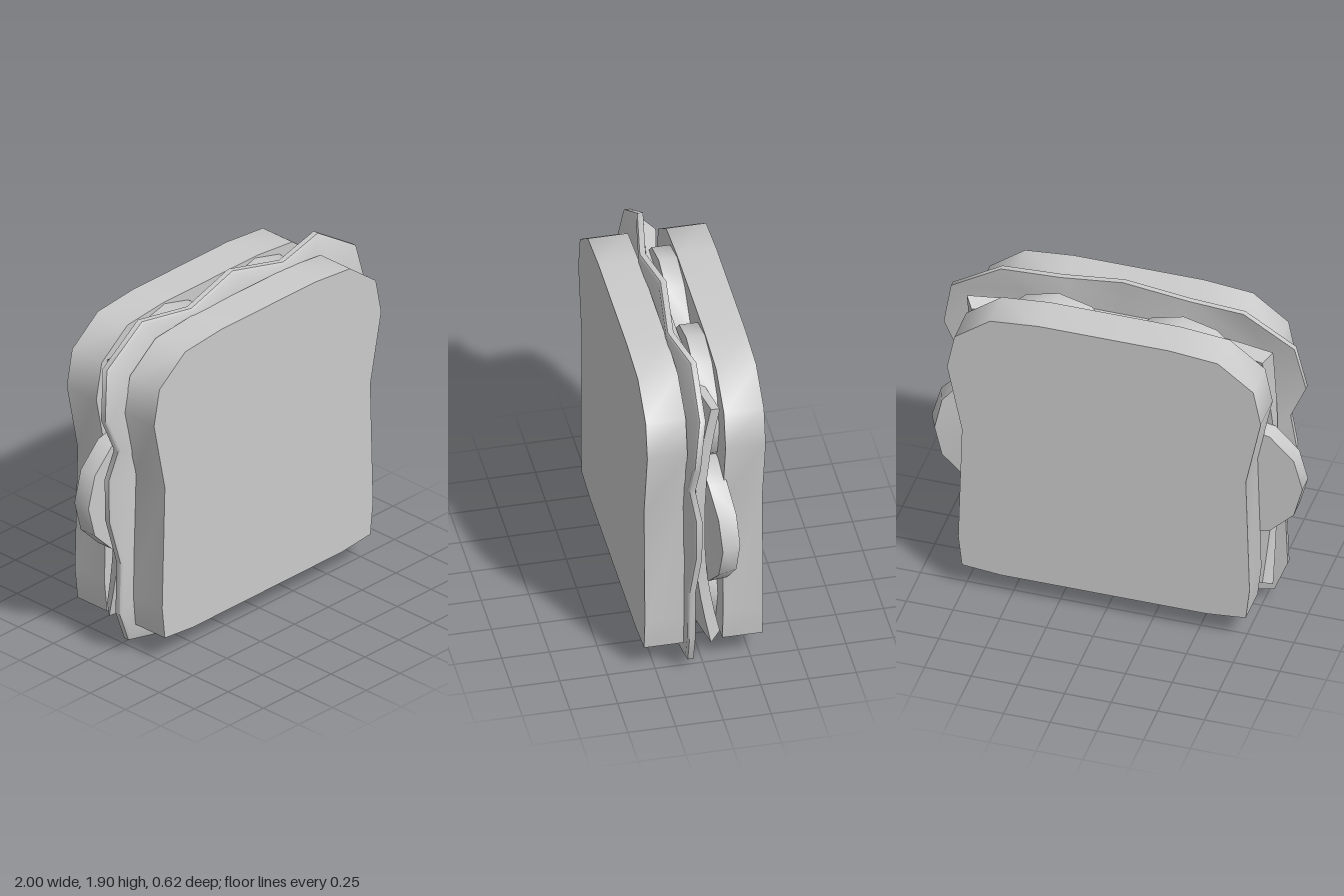
import * as THREE from 'three';
import { toCreasedNormals } from 'three/addons/utils/BufferGeometryUtils.js';

const grey = new THREE.MeshStandardMaterial({ color: 0xcccccc });

// full closed outline (clockwise from the top) from its right half
function mirrored(half) {
  const other = half.filter(p => p[0] > 0).reverse().map(([x, ...rest]) => [-x, ...rest]);
  return [...half, ...other];
}

function part(name, geometry, crease) {
  const mesh = new THREE.Mesh(toCreasedNormals(geometry, crease), grey);
  mesh.name = name;
  return mesh;
}

// move every vertex of a geometry by a rule
function deform(geometry, rule) {
  const pos = geometry.attributes.position;
  const v = new THREE.Vector3();
  for (let i = 0; i < pos.count; i++) {
    rule(v.fromBufferAttribute(pos, i));
    pos.setXYZ(i, v.x, v.y, v.z);
  }
  return geometry;
}

// bread slice: extruded loaf outline
function breadSlice(name, z) {
  const outline = mirrored([
    [0, 1.79], [0.35, 1.79], [0.61, 1.765], [0.8, 1.62], [0.84, 1.42],
    [0.76, 1.03], [0.78, 0.33], [0.76, 0.15], [0.55, 0.13],
  ]);
  const shape = new THREE.Shape(outline.map(([x, y]) => new THREE.Vector2(x, y)));
  const geometry = new THREE.ExtrudeGeometry(shape, { depth: 0.21, bevelEnabled: false });
  return part(name, geometry.translate(0, 0, z), 0.75);
}

// lettuce leaf: thin sheet with a wavy rim; each entry is x, y, rim back z
function lettuceLeaf() {
  const rim = mirrored([
    [0, 1.9, 0.03], [0.34, 1.83, 0.065], [0.65, 1.855, 0.012], [0.92, 1.68, 0.022],
    [0.97, 1.41, 0.058], [0.885, 1.21, 0.068], [0.925, 1.04, 0.04], [0.92, 0.8, 0.04],
    [0.86, 0.54, 0.062], [0.87, 0.25, 0.065], [0.8, 0.07, 0.06], [0.56, 0.02, 0.065],
    [0, 0.08, 0.06],
  ]);
  // rings from front centre, around the rim, to back centre: scale, flat z or rim offset
  const rings = [
    { s: 0, z: 0.105 }, { s: 0.84, z: 0.105 }, { s: 0.985, rim: 0.04 }, { s: 1, rim: 0.03 },
    { s: 1, rim: 0 }, { s: 0.84, z: 0.055 }, { s: 0, z: 0.055 },
  ];
  const points = [], index = [], n = rim.length, cy = 0.95;
  rings.forEach(({ s, z, rim: offset }, r) => {
    rim.forEach(([x, y, back], i) => {
      points.push(x * s, cy + (y - cy) * s, z ?? back + offset);
      if (r === rings.length - 1) return;
      const a = r * n + i, a2 = r * n + (i + 1) % n;
      if (r > 0) index.push(a, a2, a + n);
      if (r < rings.length - 2) index.push(a + n, a2, a2 + n);
      if (r === 0) index.push(a + n, a, a2 + n);
    });
  });
  const geometry = new THREE.BufferGeometry();
  geometry.setAttribute('position', new THREE.Float32BufferAttribute(points, 3));
  geometry.setIndex(index);
  return part('lettuce', geometry, 0.9);
}

// cheese: square slab whose corners curl backwards
function cheeseSlice() {
  const geometry = new THREE.BoxGeometry(1.64, 1.5, 0.055, 10, 10, 1);
  deform(geometry, v => {
    const corner = Math.max(0, Math.abs(v.x) / 0.82 + Math.abs(v.y) / 0.75 - 1.2) / 0.8;
    if (v.z < 0) v.multiply(new THREE.Vector3(1 - 0.05 * corner, 1 - 0.05 * corner, 1));
    v.z -= 0.085 * corner ** 1.5;
  });
  return part('cheese', geometry.translate(0, 0.925, 0.03), 0.6);
}

// tomato slice: twelve-sided disc, optionally bent back towards direction (dx, dy)
function tomatoSlice(name, x, y, bend = 0, dx = 0, dy = 0) {
  const r = 0.35;
  const geometry = new THREE.CylinderGeometry(r, r, 0.1, 12).rotateX(Math.PI / 2);
  deform(geometry, v => {
    const out = Math.max(0, (v.x * dx + v.y * dy) / r) ** 2;
    if (v.z < 0) {
      v.x -= dx * out * bend * 0.9;
      v.y -= dy * out * bend * 0.9;
    }
    v.z -= bend * out;
  });
  return part(name, geometry.translate(x, y, -0.052), 0.7);
}

export function createModel() {
  const group = new THREE.Group();
  group.name = 'sandwich';
  group.add(
    breadSlice('frontBread', 0.1),
    breadSlice('backBread', -0.31),
    lettuceLeaf(),
    cheeseSlice(),
    tomatoSlice('leftTomato', 0.65, 0.88, 0.05, 1, 0),
    tomatoSlice('rightTomato', -0.65, 0.88),
  );
  for (const [side, s] of [['Left', 1], ['Right', -1]]) {
    group.add(
      tomatoSlice('top' + side + 'Tomato', s * 0.335, 1.43),
      tomatoSlice('bottom' + side + 'Tomato', s * 0.3, 0.35, 0.03, 0, -1),
    );
  }
  return group;
}
